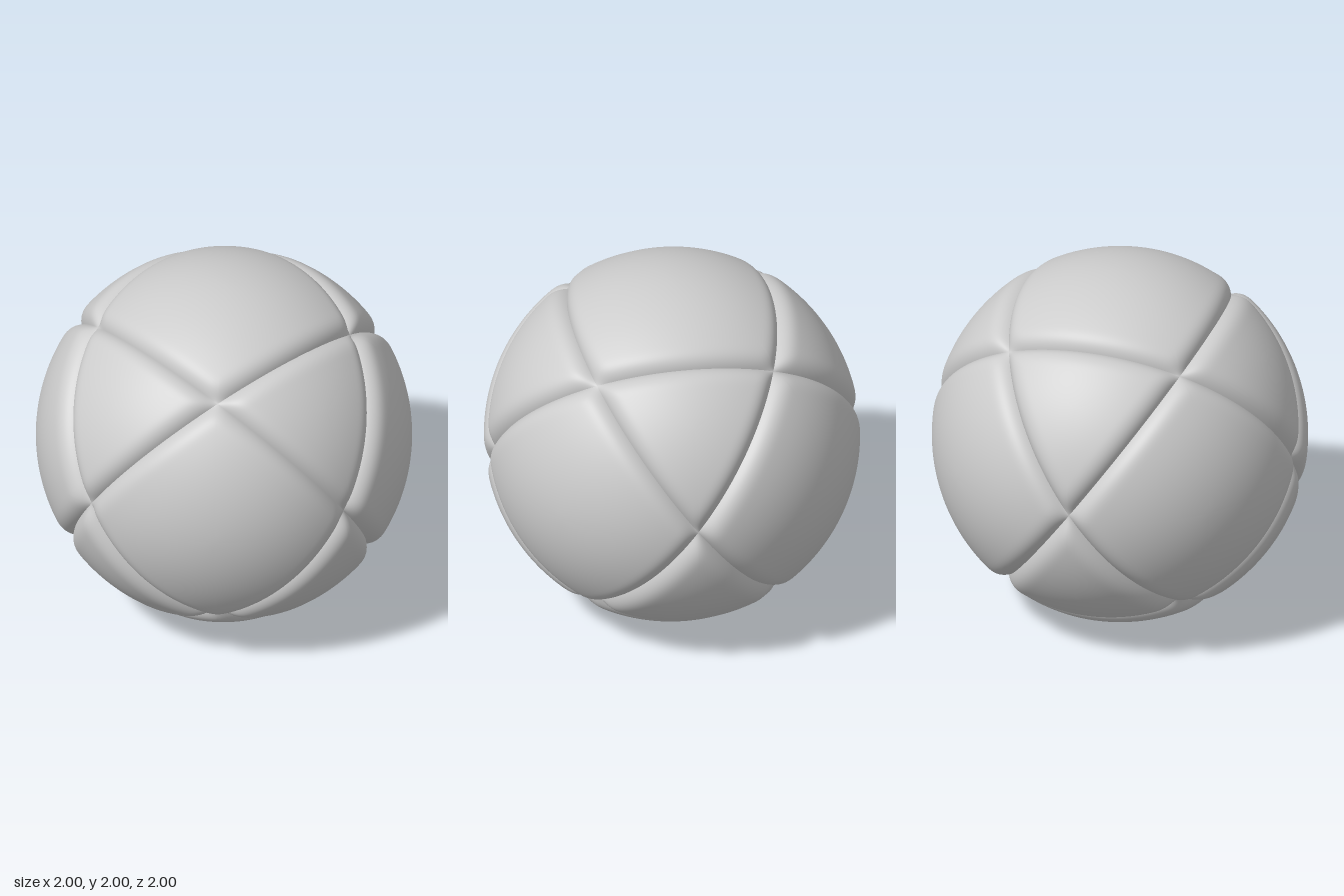
import * as THREE from 'three';
import { mergeVertices } from 'three/addons/utils/BufferGeometryUtils.js';

const RADIUS = 1, GROOVE_DEPTH = 0.052, BEVEL = 0.13;
const RINGS = 30, EDGE_STEPS = 36;

// Four great-circle planes cut the ball into 6 square and 8 triangular panels
const planes = [[1, 1, 1], [-1, 1, 1], [1, -1, 1], [1, 1, -1]]
  .map((n) => new THREE.Vector3(...n).normalize());

// Push a direction out to the ball, dipping into a rounded groove at each plane
function toSurface(p) {
  p.normalize();
  let full = 1;
  for (const n of planes) {
    const d = Math.min(Math.abs(n.dot(p)) / BEVEL, 1);
    full *= 1 - (1 - d) ** 3;
  }
  return p.multiplyScalar(RADIUS - GROOVE_DEPTH * (1 - full));
}

// One pillowed panel: rings from its centre out to its corners
function panelGeometry(corners) {
  const centre = new THREE.Vector3();
  corners.forEach((c) => centre.addScaledVector(c, 1 / corners.length));
  const turn = new THREE.Vector3().crossVectors(corners[0], corners[1]).dot(centre);
  const loop = turn > 0 ? corners : [...corners].reverse();
  const around = loop.length * EDGE_STEPS;
  const positions = [], index = [];
  for (let i = 0; i <= RINGS; i++) {
    const t = Math.sin((i / RINGS) * Math.PI / 2); // finer rings near the groove
    for (let j = 0; j < around; j++) {
      const side = Math.floor(j / EDGE_STEPS);
      const s = (j % EDGE_STEPS) / EDGE_STEPS;
      const eased = (s + s * s * (3 - 2 * s)) / 2; // finer steps near corners
      const rim = loop[side].clone().lerp(loop[(side + 1) % loop.length], eased);
      positions.push(...toSurface(centre.clone().lerp(rim, t)).toArray());
      if (i === RINGS) continue;
      const a = i * around + j, b = i * around + (j + 1) % around;
      index.push(a, a + around, b + around);
      if (i > 0) index.push(a, b + around, b);
    }
  }
  const geometry = new THREE.BufferGeometry();
  geometry.setAttribute('position', new THREE.Float32BufferAttribute(positions, 3));
  geometry.setIndex(index);
  const merged = mergeVertices(geometry, 1e-5);
  merged.computeVertexNormals();
  return merged;
}

export function createModel() {
  const model = new THREE.Group();
  model.name = 'groovedBall';
  const material = new THREE.MeshStandardMaterial({ color: 0xcccccc });
  material.name = 'light grey';

  const addPanel = (name, corners) => {
    const mesh = new THREE.Mesh(panelGeometry(corners), material);
    mesh.name = name;
    mesh.position.y = RADIUS;
    model.add(mesh);
  };

  // Square panels, one facing each axis direction
  const names = [['leftPanel', 'rightPanel'], ['topPanel', 'bottomPanel'], ['frontPanel', 'backPanel']];
  for (let axis = 0; axis < 3; axis++) {
    [1, -1].forEach((sign, k) => {
      const corners = [[1, 0], [0, 1], [-1, 0], [0, -1]].map(([u, v]) => {
        const c = new THREE.Vector3().setComponent(axis, sign);
        return c.setComponent((axis + 1) % 3, u).setComponent((axis + 2) % 3, v);
      });
      addPanel(names[axis][k], corners);
    });
  }

  // Triangular panels, one in each octant
  for (const x of [1, -1]) for (const y of [1, -1]) for (const z of [1, -1]) {
    const name = (y > 0 ? 'upper' : 'lower') + (z > 0 ? 'Front' : 'Back') + (x > 0 ? 'Left' : 'Right') + 'Triangle';
    addPanel(name, [
      new THREE.Vector3(x, y, 0),
      new THREE.Vector3(0, y, z),
      new THREE.Vector3(x, 0, z),
    ]);
  }
  return model;
}
